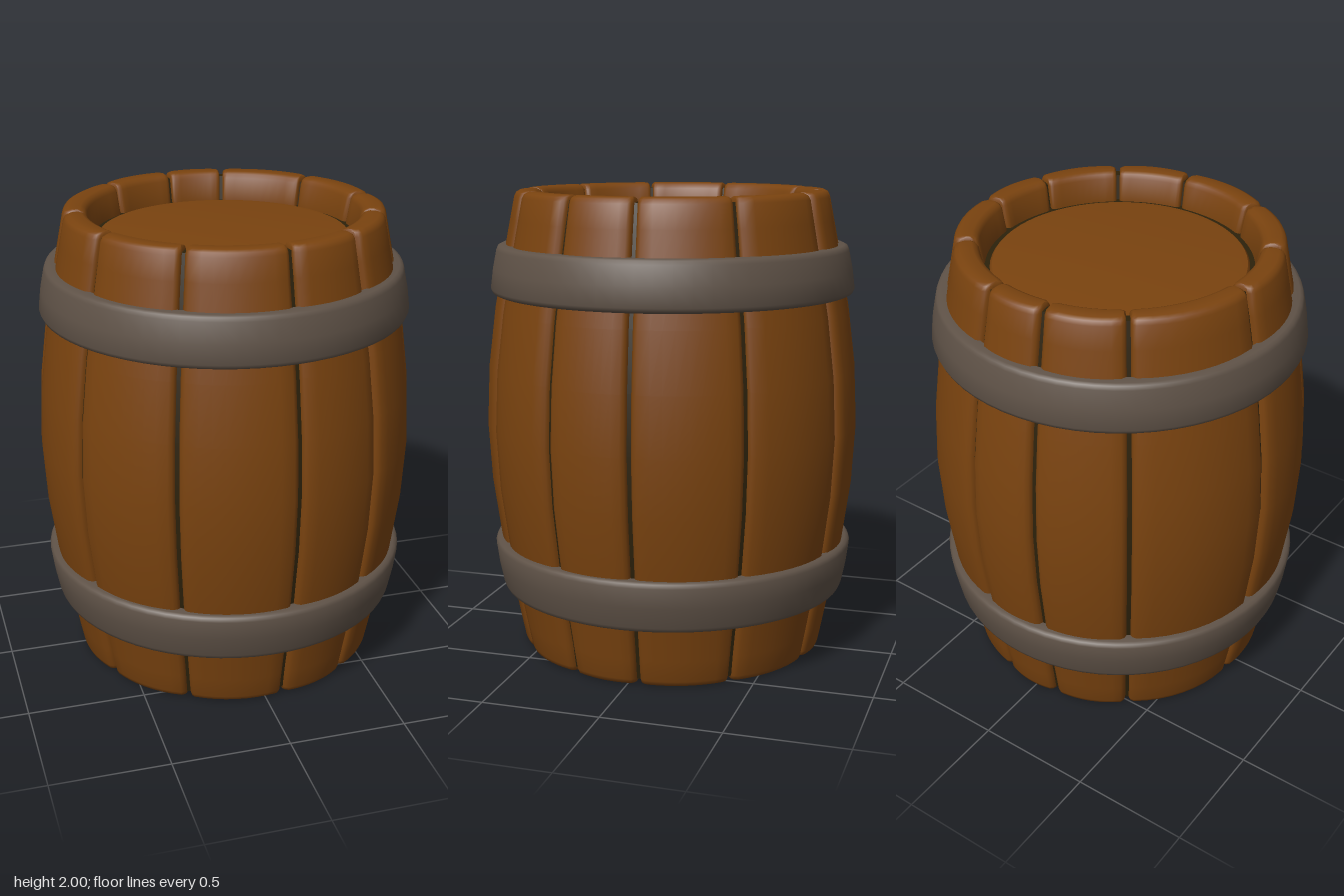
import * as THREE from 'three';
import { toCreasedNormals } from 'three/addons/utils/BufferGeometryUtils.js';

const wood = new THREE.MeshStandardMaterial({ color: 0x7a430f });
wood.name = 'wood';
const iron = new THREE.MeshStandardMaterial({ color: 0x5f5247 });
iron.name = 'iron';
const groove = new THREE.MeshStandardMaterial({ color: 0x2c210b });
groove.name = 'groove';

// Stave sections from bottom to top: height, outer radius, inner radius, end inset
const sections = [
  [0, 0.648, 0.595, 0.014], [0.008, 0.662, 0.578, 0.004], [0.025, 0.669, 0.568, 0],
  [0.12, 0.688, 0.55, 0], [0.27, 0.717, 0.55, 0], [0.5, 0.764, 0.6, 0],
  [0.75, 0.798, 0.62, 0], [1, 0.812, 0.63, 0], [1.25, 0.8, 0.62, 0],
  [1.5, 0.768, 0.6, 0], [1.76, 0.72, 0.55, 0], [1.88, 0.696, 0.55, 0],
  [1.975, 0.677, 0.568, 0], [1.992, 0.668, 0.578, 0.004], [2, 0.652, 0.595, 0.014],
];

// Seam angles in degrees, measured from +x towards +z
const seams = [-173, -128, -99, -75.5, -38.5, -4, 22.5, 54, 83, 119.5, 153.5];

function mesh(name, geometry, material) {
  const m = new THREE.Mesh(geometry, material);
  m.name = name;
  return m;
}

function lathe(points, crease = 0.7) {
  const g = new THREE.LatheGeometry(points.map(([r, y]) => new THREE.Vector2(r, y)), 64);
  return toCreasedNormals(g, crease);
}

// A curved plank with softened edges between two angles
function staveGeometry(from, to) {
  const gap = 0.012, inner = 8;
  const a0 = from + gap, a1 = to - gap;
  // each column: angle, drop below the outer radius
  const cols = [[a0, 0.05], [a0, 0.02], [a0 + 0.01, 0.008], [a0 + 0.03, 0]];
  for (let i = 1; i < inner; i++) cols.push([a0 + 0.03 + (a1 - a0 - 0.06) * i / inner, 0]);
  cols.push([a1 - 0.03, 0], [a1 - 0.01, 0.008], [a1, 0.02], [a1, 0.05]);
  const n = cols.length, mid = (a0 + a1) / 2, half = (a1 - a0) / 2;
  const pos = [], index = [];

  for (const [y, ro, ri, inset] of sections) {
    const ring = cols.map(([a, drop]) => {
      const u = (a - mid) / half;
      const angle = mid + (a - mid) * (1 - inset / half);
      const slim = Math.min(drop, (ro - ri) * 0.4);
      return { angle, out: ro - slim - 0.01 * u * u, in: ri + slim * 0.5 };
    });
    for (const p of ring) pos.push(p.out * Math.cos(p.angle), y, p.out * Math.sin(p.angle));
    for (const p of ring.reverse()) pos.push(p.in * Math.cos(p.angle), y, p.in * Math.sin(p.angle));
  }

  const loop = 2 * n, last = (sections.length - 1) * loop;
  for (let j = 0; j < sections.length - 1; j++) {
    for (let i = 0; i < loop; i++) {
      const a = j * loop + i, b = j * loop + (i + 1) % loop;
      index.push(a, a + loop, b, b, a + loop, b + loop);
    }
  }
  // end grain
  for (let i = 0; i < n - 1; i++) {
    const o = i, p = i + 1, q = loop - 1 - i, r = loop - 2 - i;
    index.push(last + o, last + q, last + p, last + p, last + q, last + r);
    index.push(o, p, q, p, r, q);
  }
  const g = new THREE.BufferGeometry();
  g.setAttribute('position', new THREE.Float32BufferAttribute(pos, 3));
  g.setIndex(index);
  return toCreasedNormals(g, 0.9);
}

// Iron band with rounded edges, wider towards the belly
function hoopGeometry(y0, y1, r0, r1) {
  return lathe([
    [r0 - 0.06, y0], [r0 - 0.02, y0], [r0 - 0.007, y0 + 0.006], [r0, y0 + 0.022],
    [(r0 + r1) / 2 + 0.003, (y0 + y1) / 2],
    [r1, y1 - 0.022], [r1 - 0.007, y1 - 0.006], [r1 - 0.02, y1], [r1 - 0.06, y1],
  ], 1.0);
}

export function createModel() {
  const barrel = new THREE.Group();
  barrel.name = 'barrel';

  // Staves
  const staves = new THREE.Group();
  staves.name = 'staves';
  seams.forEach((s, i) => {
    const next = i + 1 < seams.length ? seams[i + 1] : seams[0] + 360;
    const g = staveGeometry(THREE.MathUtils.degToRad(s), THREE.MathUtils.degToRad(next));
    staves.add(mesh('stave' + (i + 1), g, wood));
  });
  barrel.add(staves);

  // Dark core seen through the seams and around the lids
  const side = sections.slice(3, -3).map(([y, ro]) => [ro - 0.035, y]);
  barrel.add(mesh('seamCore', lathe([
    [0, 0.125], [0.575, 0.125], [0.597, 0.022], [0.638, 0.022],
    ...side,
    [0.638, 1.978], [0.597, 1.978], [0.575, 1.875], [0, 1.875],
  ]), groove));

  // Recessed lids
  const lid = lathe([[0.53, -0.03], [0.53, 0], [0.52, 0.012], [0.49, 0.016], [0, 0.018]]);
  const topLid = mesh('topLid', lid, wood);
  topLid.position.y = 1.875;
  const bottomLid = mesh('bottomLid', lid, wood);
  bottomLid.position.y = 0.125;
  bottomLid.rotation.x = Math.PI;
  barrel.add(topLid, bottomLid);

  // Hoops
  barrel.add(mesh('upperHoop', hoopGeometry(1.565, 1.772, 0.785, 0.758), iron));
  barrel.add(mesh('lowerHoop', hoopGeometry(0.268, 0.488, 0.76, 0.79), iron));
  return barrel;
}
